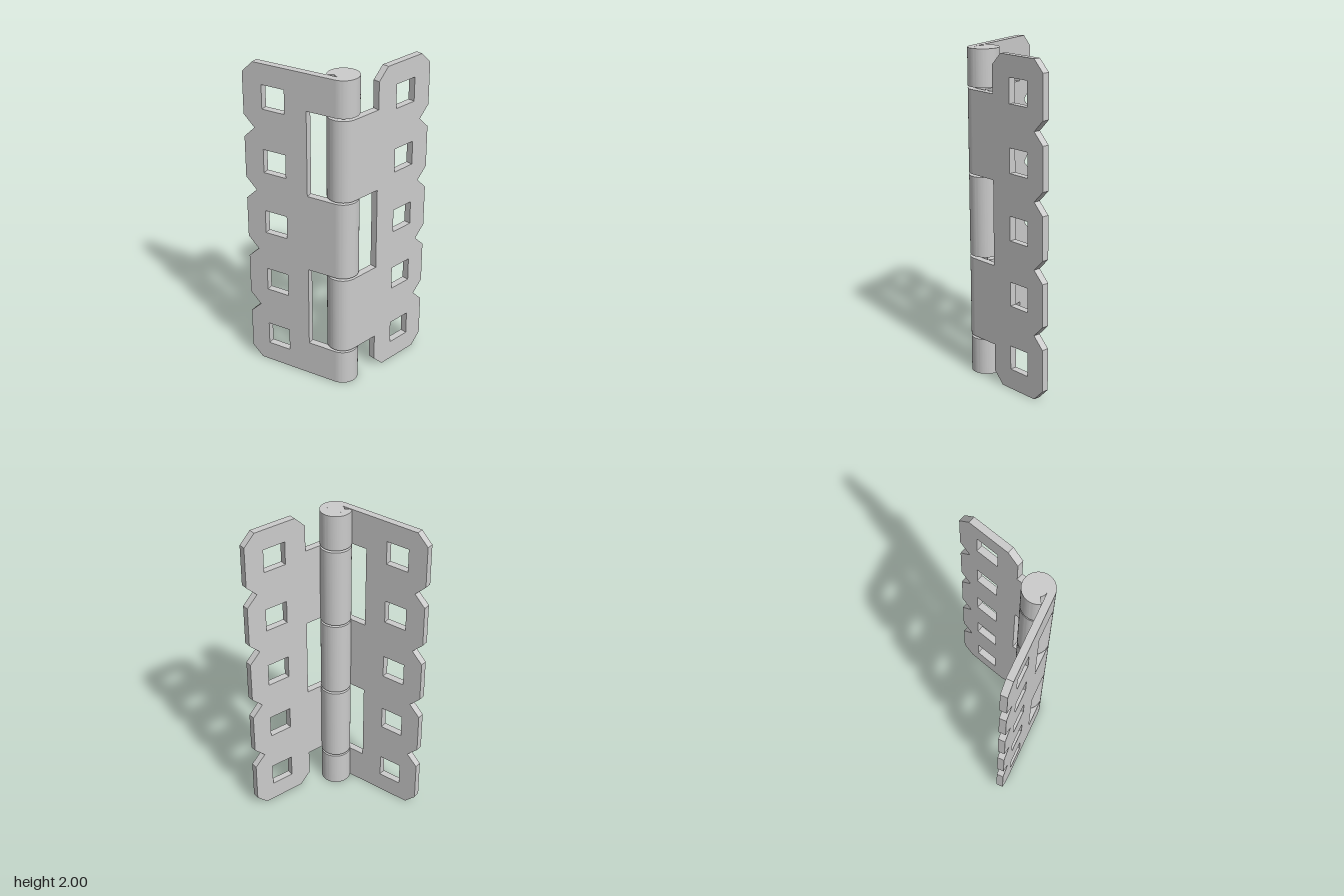
import * as THREE from 'three';
import { toCreasedNormals } from 'three/addons/utils/BufferGeometryUtils.js';

const R = 0.0935, PIN_R = 0.05, T = R - PIN_R;   // knuckle, pin, sheet thickness
const INNER = 0.182, OUTER = 0.597, CUT = 0.07;  // leaf edges measured from the pin axis
const PITCH = 0.4, COUNT = 5, HEIGHT = PITCH * COUNT;

const material = new THREE.MeshStandardMaterial({ color: 0xcccccc });

function addMesh(parent, geometry, name) {
  const mesh = new THREE.Mesh(geometry, material);
  mesh.name = name;
  parent.add(mesh);
  return mesh;
}

// Flat leaf: notched outer edge, tabs reaching the pin, square holes
function plateGeometry(tabs) {
  const pts = [];
  const openBottom = tabs[0][0] > 0;
  if (openBottom) pts.push([INNER, CUT], [INNER + CUT, 0]);
  for (let i = 0; i < COUNT; i++) {
    const y = i * PITCH;
    pts.push([OUTER - CUT, y], [OUTER, y + CUT], [OUTER, y + PITCH - CUT]);
  }
  pts.push([OUTER - CUT, HEIGHT]);
  if (openBottom) pts.push([INNER + CUT, HEIGHT], [INNER, HEIGHT - CUT]);
  for (const [lo, hi] of [...tabs].reverse()) {
    if (hi < HEIGHT) pts.push([INNER, hi]);
    pts.push([0, hi], [0, lo]);
    if (lo > 0) pts.push([INNER, lo]);
  }
  const shape = new THREE.Shape(pts.map(([x, y]) => new THREE.Vector2(x, y)));
  const x0 = 0.324, x1 = 0.472, h = 0.074;
  for (let i = 0; i < COUNT; i++) {
    const y = (i + 0.5) * PITCH;
    shape.holes.push(new THREE.Path([
      new THREE.Vector2(x0, y - h), new THREE.Vector2(x0, y + h),
      new THREE.Vector2(x1, y + h), new THREE.Vector2(x1, y - h),
    ]));
  }
  return new THREE.ExtrudeGeometry(shape, { depth: T, bevelEnabled: false });
}

// Curled sheet that wraps the pin until it meets the leaf's inner face
function knuckleGeometry(side, height) {
  const a0 = -side * Math.PI / 2;
  const a1 = a0 - side * (2 * Math.PI - Math.acos(PIN_R / R));
  const shape = new THREE.Shape();
  shape.absarc(0, 0, R, a0, a1, side > 0);
  shape.absarc(0, 0, PIN_R, a1, a0, side < 0);
  const geo = new THREE.ExtrudeGeometry(shape, { depth: height, bevelEnabled: false, curveSegments: 48 });
  geo.rotateX(-Math.PI / 2);
  return toCreasedNormals(geo, 0.5);
}

// side is +1 or -1: which face of the leaf is the outer one
function makeLeaf(name, side, tabs) {
  const leaf = new THREE.Group();
  leaf.name = name;
  const plate = addMesh(leaf, plateGeometry(tabs), 'plate');
  plate.position.z = side > 0 ? PIN_R : -R;
  for (const [lo, hi] of tabs) {
    addMesh(leaf, knuckleGeometry(side, hi - lo), 'knuckle').position.y = lo;
  }
  return leaf;
}

export function createModel() {
  const hinge = new THREE.Group();
  hinge.name = 'hinge';
  hinge.position.set(-0.172, 0, 0.2335);

  hinge.add(makeLeaf('frontLeaf', 1, [[0.24, 0.74], [1.26, 1.763]]));

  const swungLeaf = makeLeaf('swungLeaf', -1, [[0, 0.226], [0.755, 1.247], [1.777, HEIGHT]]);
  swungLeaf.rotation.y = THREE.MathUtils.degToRad(106);
  hinge.add(swungLeaf);

  const pin = addMesh(hinge, new THREE.CylinderGeometry(PIN_R, PIN_R, HEIGHT, 48), 'pin');
  pin.position.y = HEIGHT / 2;

  const model = new THREE.Group();
  model.name = 'hingeModel';
  model.add(hinge);
  return model;
}
